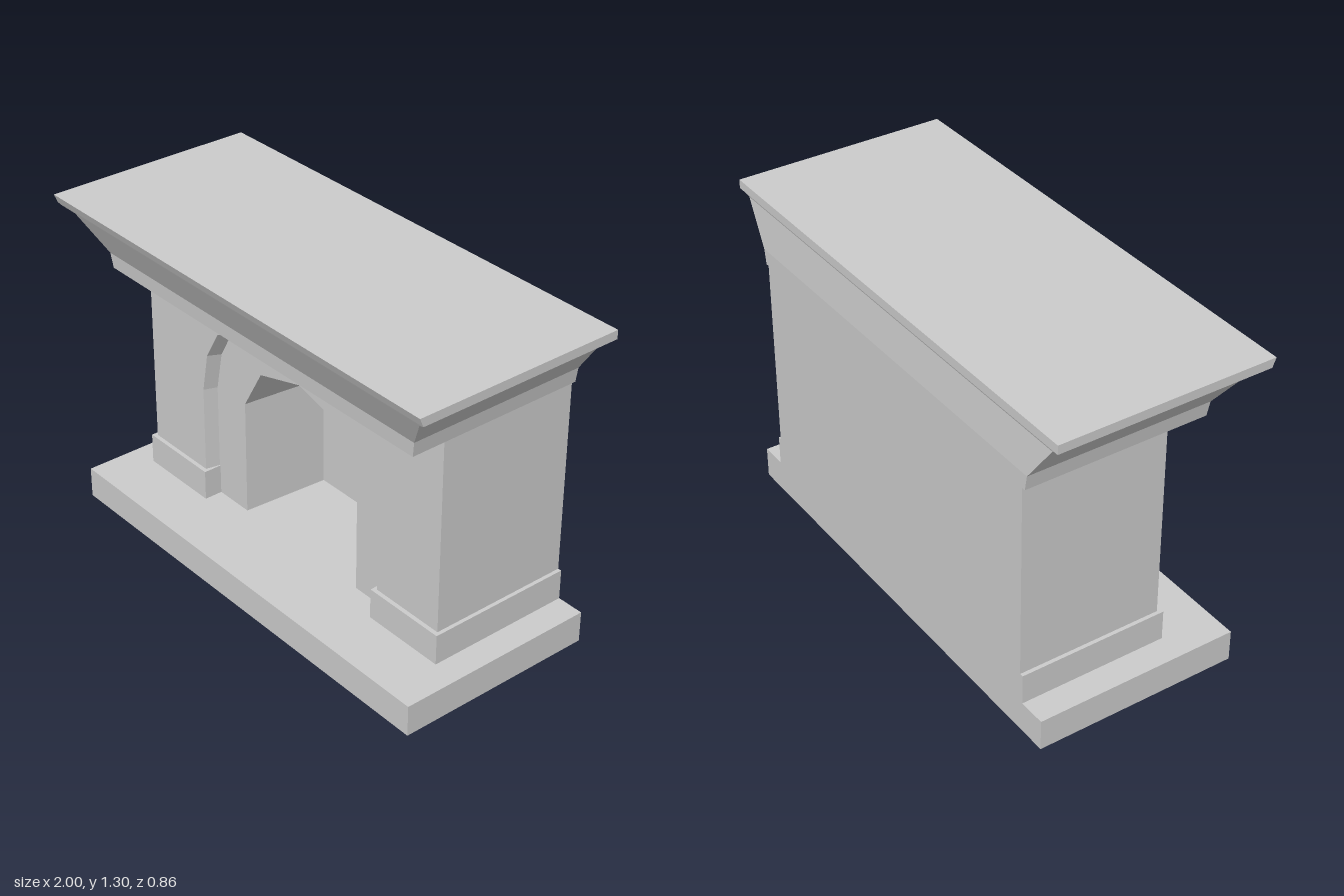
import * as THREE from 'three';

const material = new THREE.MeshStandardMaterial({ color: 0xcccccc, flatShading: true });
const BACK = -0.43, HEARTH_TOP = 0.125, BODY_TOP = 1.03;

function addMesh(group, name, geometry) {
  const mesh = new THREE.Mesh(geometry, material);
  mesh.name = name;
  group.add(mesh);
  return mesh;
}

function addBox(group, name, x0, x1, y0, y1, z0, z1) {
  const mesh = addMesh(group, name, new THREE.BoxGeometry(x1 - x0, y1 - y0, z1 - z0));
  mesh.position.set((x0 + x1) / 2, (y0 + y1) / 2, (z0 + z1) / 2);
}

// Skin between successive rings of [x, y, z] points; optional end caps for convex closed rings
function loft(rings, closed = false) {
  const p = [];
  const n = rings[0].length;
  for (let r = 0; r < rings.length - 1; r++) {
    for (let i = 0; i < (closed ? n : n - 1); i++) {
      const j = (i + 1) % n;
      const a = rings[r][i], b = rings[r][j], c = rings[r + 1][j], d = rings[r + 1][i];
      p.push(...a, ...b, ...c, ...a, ...c, ...d);
    }
  }
  if (closed) {
    const bottom = rings[0], top = rings[rings.length - 1];
    for (let i = 1; i < n - 1; i++) {
      p.push(...bottom[0], ...bottom[i + 1], ...bottom[i]);
      p.push(...top[0], ...top[i], ...top[i + 1]);
    }
  }
  const g = new THREE.BufferGeometry();
  g.setAttribute('position', new THREE.Float32BufferAttribute(p, 3));
  g.computeVertexNormals();
  return g;
}

// Mirror the right half of an arch (foot to crown) into a full outline, left foot to right foot
function arch(half) {
  return [...half.map(([x, y]) => [-x, y]), ...half.slice(0, -1).reverse()];
}

const atDepth = (outline, z) => outline.map(([x, y]) => [x, y, z]);

// Flat front-facing panel filling the region between two outlines sharing the same floor
function panel(outer, inner, z) {
  const points = [...outer, ...(inner ? [...inner].reverse() : [])];
  const shape = new THREE.Shape(points.map(([x, y]) => new THREE.Vector2(x, y)));
  return new THREE.ShapeGeometry(shape).translate(0, 0, z);
}

const rectRing = ([y, x, front, back]) =>
  [[-x, y, front], [x, y, front], [x, y, back], [-x, y, back]];

export function createModel() {
  const group = new THREE.Group();
  group.name = 'fireplace';

  // Hearth slab
  addBox(group, 'hearth', -0.94, 0.94, 0, HEARTH_TOP, BACK, 0.39);

  // Arch outlines: each has a front edge and a slightly smaller back edge
  const f = HEARTH_TOP;
  const recessFront = arch([[0.5, f], [0.5, 0.6], [0.47, 0.76], [0.4, 0.88], [0.24, 0.947], [0, 0.975]]);
  const recessBack = arch([[0.488, f], [0.488, 0.595], [0.457, 0.752], [0.39, 0.87], [0.235, 0.937], [0, 0.963]]);
  const openingFront = arch([[0.32, f], [0.32, 0.6], [0.222, 0.77], [0, 0.83]]);
  const openingBack = arch([[0.297, f], [0.297, 0.59], [0.203, 0.743], [0, 0.805]]);
  const frontZ = 0.15, surroundZ = 0.093, fireboxZ = -0.265, w = 0.815;

  // Chimney breast: front face, sides and back
  const face = [[-w, f], [-w, BODY_TOP], [w, BODY_TOP], [w, f]];
  addMesh(group, 'breastFront', panel(face, recessFront, frontZ));
  const wallPath = [[w, frontZ], [w, BACK], [-w, BACK], [-w, frontZ]];
  addMesh(group, 'breastWalls', loft([f, BODY_TOP].map(y => wallPath.map(([x, z]) => [x, y, z]))));

  // Recessed arch surround
  addMesh(group, 'recessEdge', loft([atDepth(recessBack, surroundZ), atDepth(recessFront, frontZ)]));
  addMesh(group, 'archSurround', panel(recessBack, openingFront, surroundZ));

  // Firebox
  addMesh(group, 'fireboxWalls', loft([atDepth(openingBack, fireboxZ), atDepth(openingFront, surroundZ)]));
  addMesh(group, 'fireboxBack', panel(openingBack, null, fireboxZ));

  // Plinths at both sides
  addBox(group, 'leftPlinth', 0.484, 0.83, f, 0.247, BACK, 0.167);
  addBox(group, 'rightPlinth', -0.83, -0.484, f, 0.247, BACK, 0.167);

  // Mantel with flared moulding: [height, half width, front, back]
  const mantel = [
    [BODY_TOP, 0.83, 0.3, BACK],
    [1.09, 0.84, 0.305, BACK],
    [1.25, 0.955, 0.388, -0.417],
    [1.264, 0.985, 0.412, -0.422],
    [1.27, 1, 0.415, -0.43],
    [1.305, 1, 0.43, -0.43],
  ];
  addMesh(group, 'mantel', loft(mantel.map(rectRing), true));

  return group;
}
